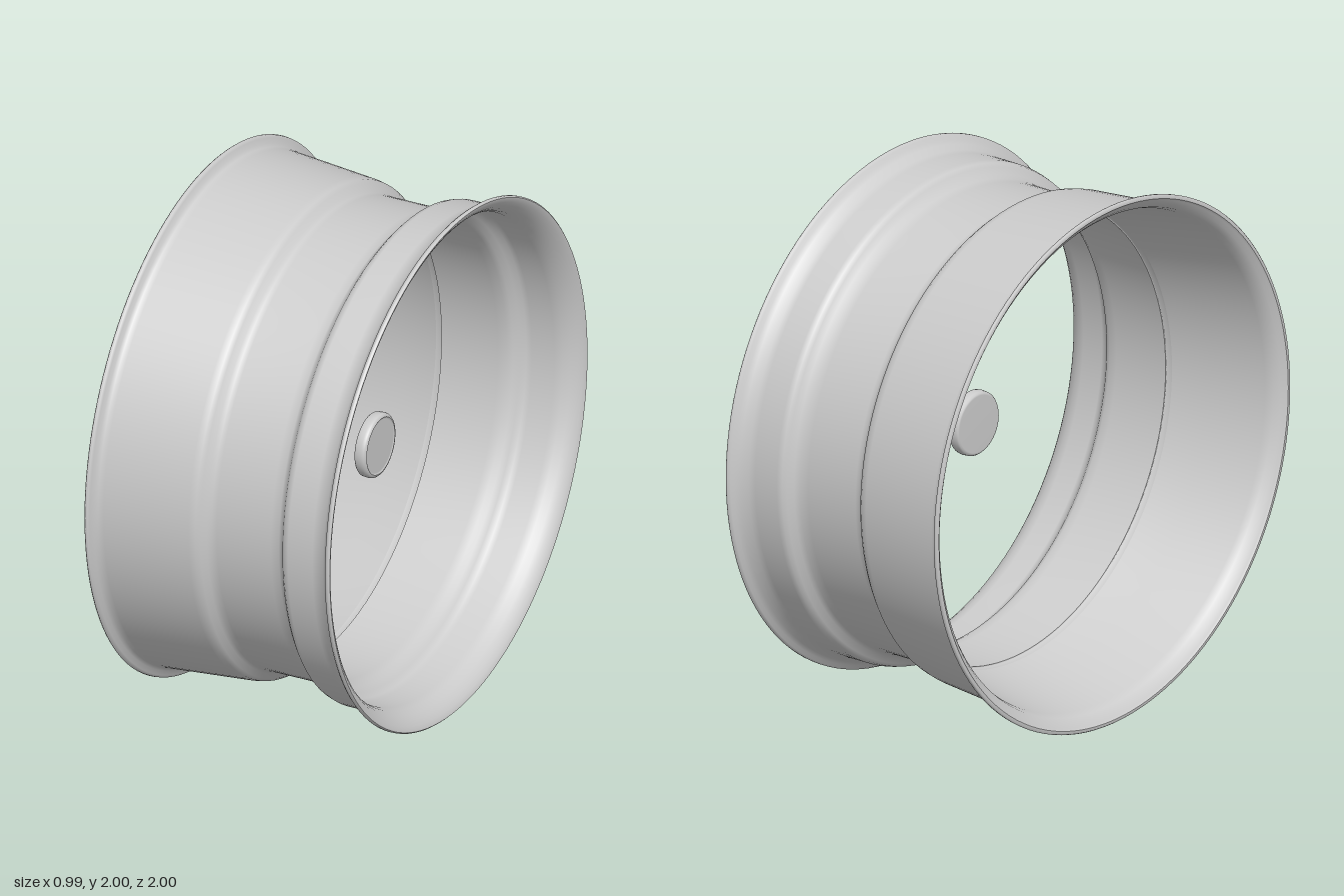
import * as THREE from 'three';

export function createModel() {
  const group = new THREE.Group();
  const metal = new THREE.MeshStandardMaterial({ color: 0xcccccc });
  metal.name = 'silver metal';

  // Revolves a profile of [x, radius] points about the x axis
  function revolve(name, profile, segments) {
    const points = profile.map(([x, r]) => new THREE.Vector2(r, x));
    const geometry = new THREE.LatheGeometry(points, segments);
    geometry.rotateZ(-Math.PI / 2);
    const mesh = new THREE.Mesh(geometry, metal);
    mesh.name = name;
    mesh.position.y = 1;
    group.add(mesh);
  }

  // Tyre side: inner flange, tapered barrel, drop centre, bead seat, outer flange
  revolve('barrelOutside', [
    [-0.497, 0.985], [-0.497, 0.996], [-0.492, 1], [-0.484, 0.999], [-0.478, 0.99],
    [-0.472, 0.972], [-0.46, 0.961], [-0.44, 0.957], [-0.11, 0.929], [-0.085, 0.924],
    [-0.07, 0.912], [-0.055, 0.891], [-0.04, 0.883], [-0.02, 0.88], [0.2, 0.88],
    [0.235, 0.884], [0.253, 0.895], [0.268, 0.918], [0.28, 0.931], [0.3, 0.937],
    [0.4, 0.938], [0.425, 0.943], [0.455, 0.958], [0.47, 0.972], [0.476, 0.985],
    [0.484, 0.991], [0.492, 0.991], [0.497, 0.986],
  ], 128);

  // Open side of the outer lip, down to the edge of the drop centre
  revolve('outerLip', [
    [0.497, 0.986], [0.495, 0.978], [0.488, 0.966], [0.475, 0.95], [0.455, 0.934],
    [0.43, 0.921], [0.4, 0.914], [0.31, 0.911], [0.29, 0.906], [0.272, 0.889],
    [0.255, 0.87], [0.235, 0.861], [0.2, 0.858], [-0.03, 0.858],
  ], 128);

  // Small step, then the smooth cone that opens toward the inner flange
  revolve('barrelStep', [[-0.03, 0.858], [-0.03, 0.864], [-0.055, 0.864]], 128);
  revolve('barrelInside', [
    [-0.055, 0.864], [-0.2, 0.893], [-0.43, 0.935], [-0.46, 0.945],
    [-0.48, 0.962], [-0.49, 0.978], [-0.497, 0.985],
  ], 128);

  // Centre cap: rounded rim with a flat face
  revolve('capBody', [
    [0.132, 0], [0.132, 0.108], [0.134, 0.115], [0.14, 0.12], [0.162, 0.122],
    [0.172, 0.12], [0.178, 0.115], [0.18, 0.108],
  ], 64);
  revolve('capFace', [[0.18, 0.108], [0.177, 0.104], [0.177, 0.1], [0.177, 0]], 64);

  return group;
}
